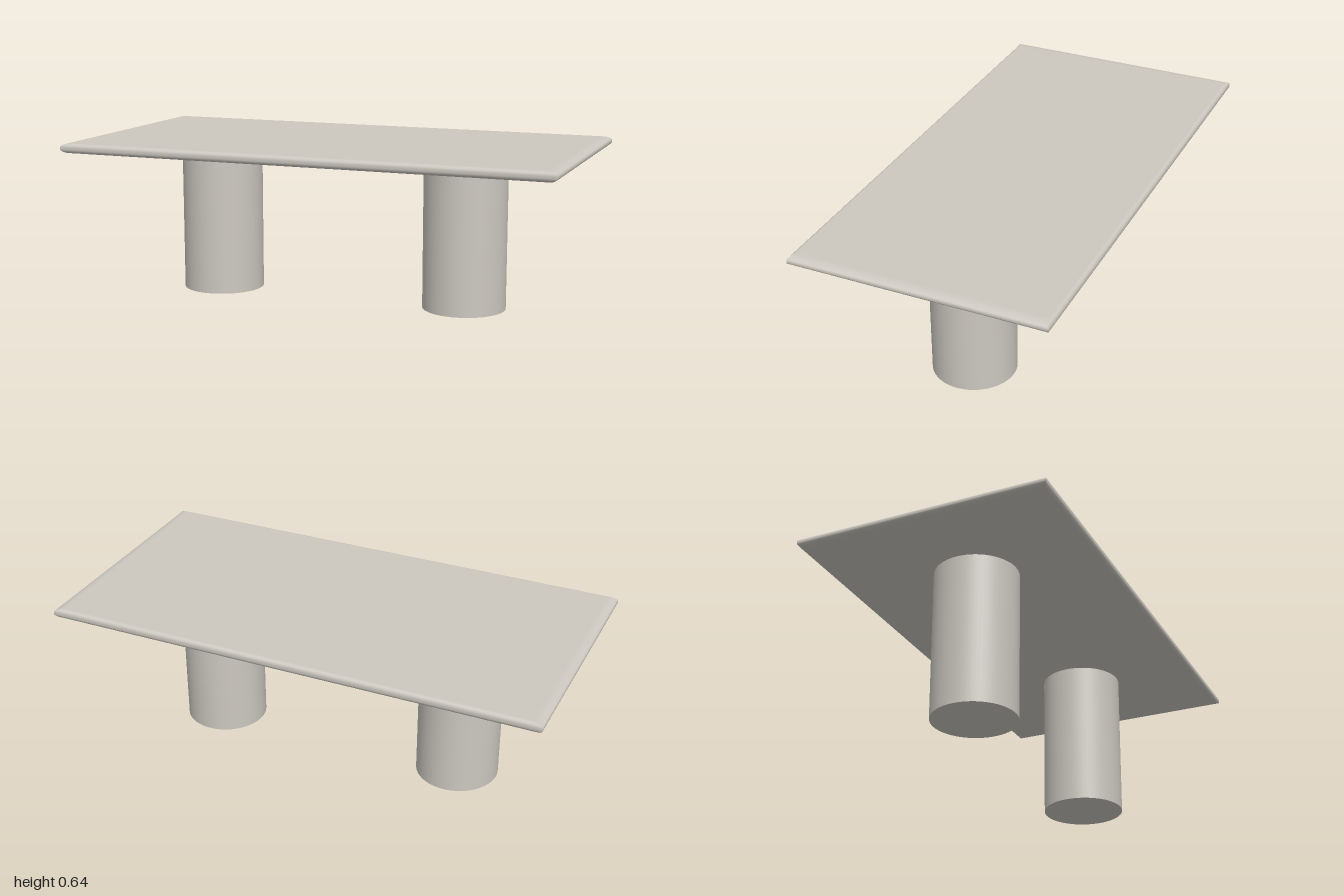
import * as THREE from 'three';
import { mergeGeometries } from 'three/addons/utils/BufferGeometryUtils.js';

const CORNERS = [[1, 1], [1, -1], [-1, -1], [-1, 1]]; // counter-clockwise from above

// Indexed grid of vertices: rows of two points (strip) with its own smooth normals
function strip(rows) {
  const index = [];
  for (let j = 0; j < rows.length - 1; j++) {
    const a = j * 2;
    index.push(a, a + 1, a + 3, a, a + 3, a + 2);
  }
  const g = new THREE.BufferGeometry();
  g.setAttribute('position', new THREE.Float32BufferAttribute(rows.flat(2), 3));
  g.setIndex(index);
  g.computeVertexNormals();
  return g;
}

// Slab with rounded edges that meet in sharp mitred corners
function slab(halfX, halfZ, y0, y1, insetX, insetZ, rise, steps) {
  const profile = []; // [height, fraction of inset]
  for (let i = 0; i <= steps; i++) {
    const t = (i / steps) * Math.PI / 2;
    profile.push([y0 + rise * (1 - Math.sin(t)), 1 - Math.cos(t)]);
  }
  profile.reverse(); // widest to narrowest becomes bottom to top
  const lower = profile.slice().sort((a, b) => a[0] - b[0]);
  const upper = lower.map(([y, f]) => [y0 + y1 - y, f]).reverse();
  const rings = [...lower, ...upper].map(([y, f]) =>
    CORNERS.map(([sx, sz]) => [sx * (halfX - f * insetX), y, sz * (halfZ - f * insetZ)]));

  const parts = CORNERS.map((_, i) => strip(rings.map((r) => [r[i], r[(i + 1) % 4]])));
  const top = rings[rings.length - 1];
  const bottom = rings[0];
  parts.push(strip([[top[0], top[1]], [top[3], top[2]]]));
  parts.push(strip([[bottom[1], bottom[0]], [bottom[2], bottom[3]]]));
  return mergeGeometries(parts);
}

export function createModel() {
  const group = new THREE.Group();
  group.name = 'table';
  const stone = new THREE.MeshStandardMaterial({ color: 0xccc8c0 });
  stone.name = 'warm grey stone';

  // Table top
  const top = new THREE.Mesh(slab(1, 0.505, 0.606, 0.645, 0.04, 0.016, 0.017, 8), stone);
  top.name = 'tableTop';
  group.add(top);

  // Two round column legs
  const legGeometry = new THREE.CylinderGeometry(0.166, 0.166, 0.607, 64);
  for (const side of [-1, 1]) {
    const leg = new THREE.Mesh(legGeometry, stone);
    leg.name = side > 0 ? 'leftLeg' : 'rightLeg';
    leg.position.set(side * 0.528, 0.3035, 0.008);
    group.add(leg);
  }
  return group;
}
